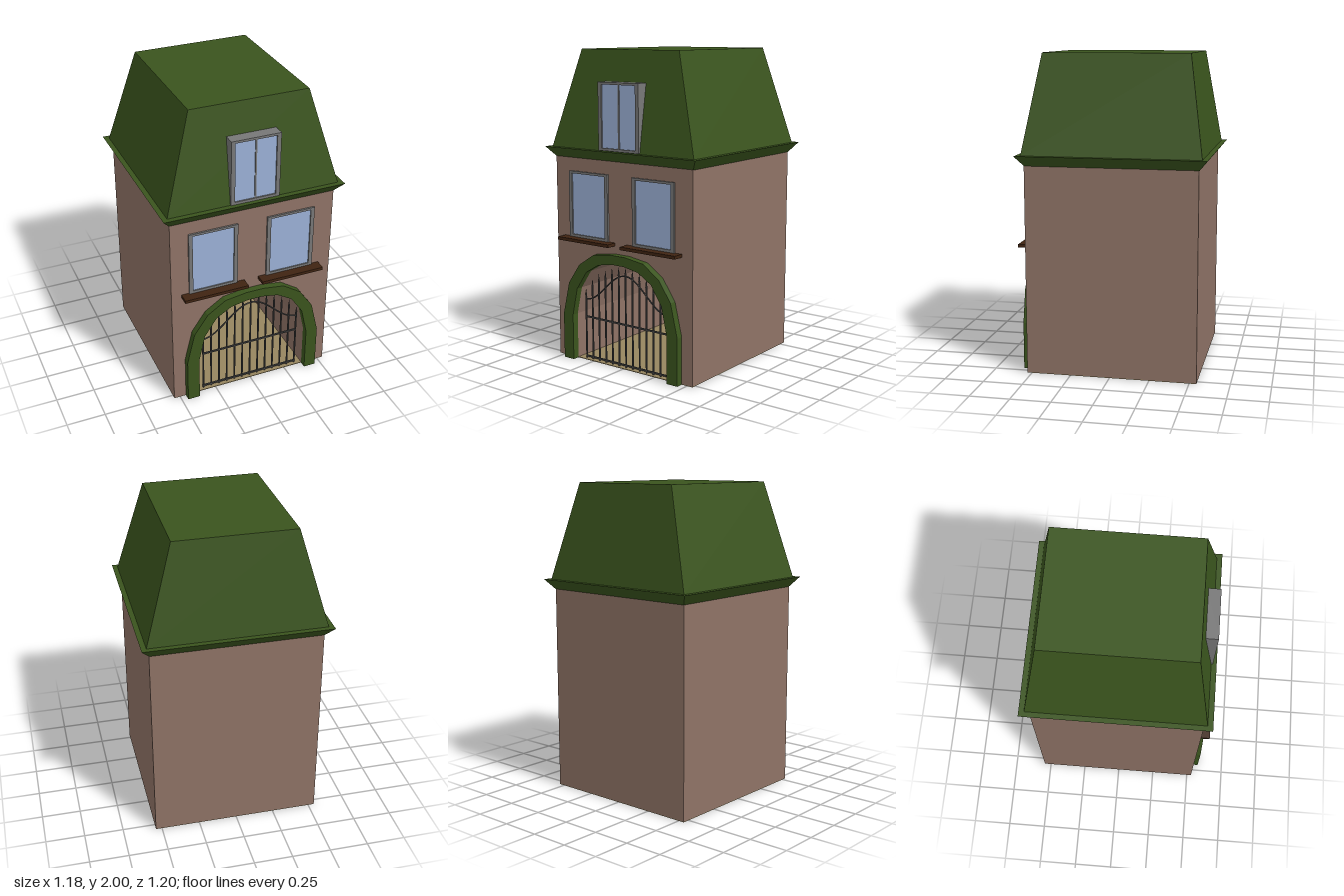
import * as THREE from 'three';

const mat = (color, side = THREE.FrontSide) =>
  new THREE.MeshStandardMaterial({ color, side, flatShading: true });
const BRICK = mat(0x8f7366), GREEN = mat(0x3a541d), GREY = mat(0x777777);
const GLASS = mat(0x9bb1d6), WOOD = mat(0x3f2412), IRON = mat(0x444444), FLOOR = mat(0x97865f);
const CZ = -0.01; // depth centre of the house volume

function add(parent, name, geometry, material, x = 0, y = 0, z = 0) {
  const mesh = new THREE.Mesh(geometry, material);
  mesh.name = name;
  mesh.position.set(x, y, z);
  parent.add(mesh);
  return mesh;
}

// Box given by its min and max corners
function block(parent, name, material, x0, x1, y0, y1, z0, z1) {
  return add(parent, name, new THREE.BoxGeometry(x1 - x0, y1 - y0, z1 - z0), material,
    (x0 + x1) / 2, (y0 + y1) / 2, (z0 + z1) / 2);
}

// Box whose top and bottom have different half sizes
function frustum(bx, bz, tx, tz, y0, y1) {
  const g = new THREE.BoxGeometry(2, y1 - y0, 2);
  g.translate(0, (y0 + y1) / 2, CZ);
  const p = g.attributes.position;
  for (let i = 0; i < p.count; i++) {
    const top = p.getY(i) > (y0 + y1) / 2;
    p.setX(i, p.getX(i) * (top ? tx : bx));
    p.setZ(i, (p.getZ(i) - CZ) * (top ? tz : bz) + CZ);
  }
  g.computeVertexNormals();
  return g;
}

// Full arch outline from right foot to left foot, mirrored from its right half
function archPoints(half, y0) {
  const right = [[half[0][0], y0], ...half];
  const left = right.map(([x, y]) => [-x, y]).reverse();
  return [...right, ...left].map(([x, y]) => new THREE.Vector2(x, y));
}

function extrude(points, depth) {
  return new THREE.ExtrudeGeometry(new THREE.Shape(points), { depth, bevelEnabled: false });
}

// Rectangular frame with a glass pane set back inside it
function windowUnit(name, x0, x1, y0, y1, zBack, zFront, zGlass, border) {
  const g = new THREE.Group();
  g.name = name;
  const b = border;
  block(g, 'frameLeft', GREY, x0, x0 + b, y0, y1, zBack, zFront);
  block(g, 'frameRight', GREY, x1 - b, x1, y0, y1, zBack, zFront);
  block(g, 'frameTop', GREY, x0 + b, x1 - b, y1 - 0.015, y1, zBack, zFront);
  block(g, 'frameBottom', GREY, x0 + b, x1 - b, y0, y0 + 0.017, zBack, zFront);
  block(g, 'glass', GLASS, x0 + b, x1 - b, y0 + 0.017, y1 - 0.015, zBack, zGlass);
  return g;
}

export function createModel() {
  const house = new THREE.Group();
  house.name = 'house';

  const inner = [[0.38, 0.3], [0.34, 0.48], [0.26, 0.6], [0.16, 0.66], [0.05, 0.68]];
  const outer = [[0.46, 0.3], [0.41, 0.51], [0.32, 0.64], [0.2, 0.72], [0.06, 0.74]];
  const V = (x, y) => new THREE.Vector2(x, y);

  // Walls with the arched passage cut through, closed at the back
  const base = 0.004;
  const wall = [V(-0.54, base), V(-0.54, 1.32), V(0.54, 1.32), V(0.54, base), ...archPoints(inner, base)];
  add(house, 'walls', extrude(wall, 1.065), BRICK, 0, 0, -0.535);
  block(house, 'backWall', BRICK, -0.54, 0.54, base, 1.32, -0.545, -0.535);
  block(house, 'floor', FLOOR, -0.54, 0.54, 0, base, -0.545, 0.53);

  // Arch surround
  const band = [...archPoints(outer, 0), ...archPoints(inner, 0).reverse()];
  add(house, 'archSurround', extrude(band, 0.045), GREEN, 0, 0, 0.53);

  // Cornice and mansard roof
  add(house, 'cornice', frustum(0.54, 0.538, 0.59, 0.59, 1.318, 1.382), GREEN);
  add(house, 'roof', frustum(0.557, 0.556, 0.38, 0.46, 1.382, 2), GREEN);

  // Upper floor windows and sills
  for (const [side, cx] of [['right', -0.265], ['left', 0.25]]) {
    house.add(windowUnit(side + 'Window', cx - 0.16, cx + 0.16, 0.81, 1.235, 0.525, 0.542, 0.534, 0.025));
    block(house, side + 'Sill', WOOD, cx - 0.21, cx + 0.21, 0.79, 0.81, 0.525, 0.6);
  }

  // Dormer window
  const dormer = windowUnit('dormer', -0.16, 0.157, 1.385, 1.805, 0.478, 0.556, 0.547, 0.026);
  block(dormer, 'mullion', GREY, -0.006, 0.004, 1.4, 1.79, 0.53, 0.553);
  house.add(dormer);

  // Iron gate: pointed bars, two straight rails and a curved rail
  const gate = new THREE.Group();
  gate.name = 'gate';
  gate.position.set(0.005, 0, 0.505);
  const heights = [0.66, 0.655, 0.64, 0.615, 0.585, 0.545, 0.47];
  for (let i = -6; i <= 6; i++) {
    const h = heights[Math.abs(i)], x = i * 0.0552, tip = 0.06;
    add(gate, 'bar', new THREE.CylinderGeometry(0.006, 0.006, h - tip, 6), IRON, x, (h - tip) / 2, 0);
    add(gate, 'barTip', new THREE.ConeGeometry(0.007, tip, 6), IRON, x, h - tip / 2, 0);
  }
  for (const y of [0.018, 0.284]) block(gate, 'rail', IRON, -0.332, 0.332, y - 0.005, y + 0.005, -0.005, 0.005);
  const wave = [];
  for (let i = -8; i <= 8; i++) {
    wave.push(new THREE.Vector3(i * 0.0415, 0.5 + 0.1 * Math.cos(i * Math.PI / 8), 0));
  }
  add(gate, 'curvedRail', new THREE.TubeGeometry(new THREE.CatmullRomCurve3(wave), 32, 0.005, 6), IRON);
  house.add(gate);

  return house;
}
